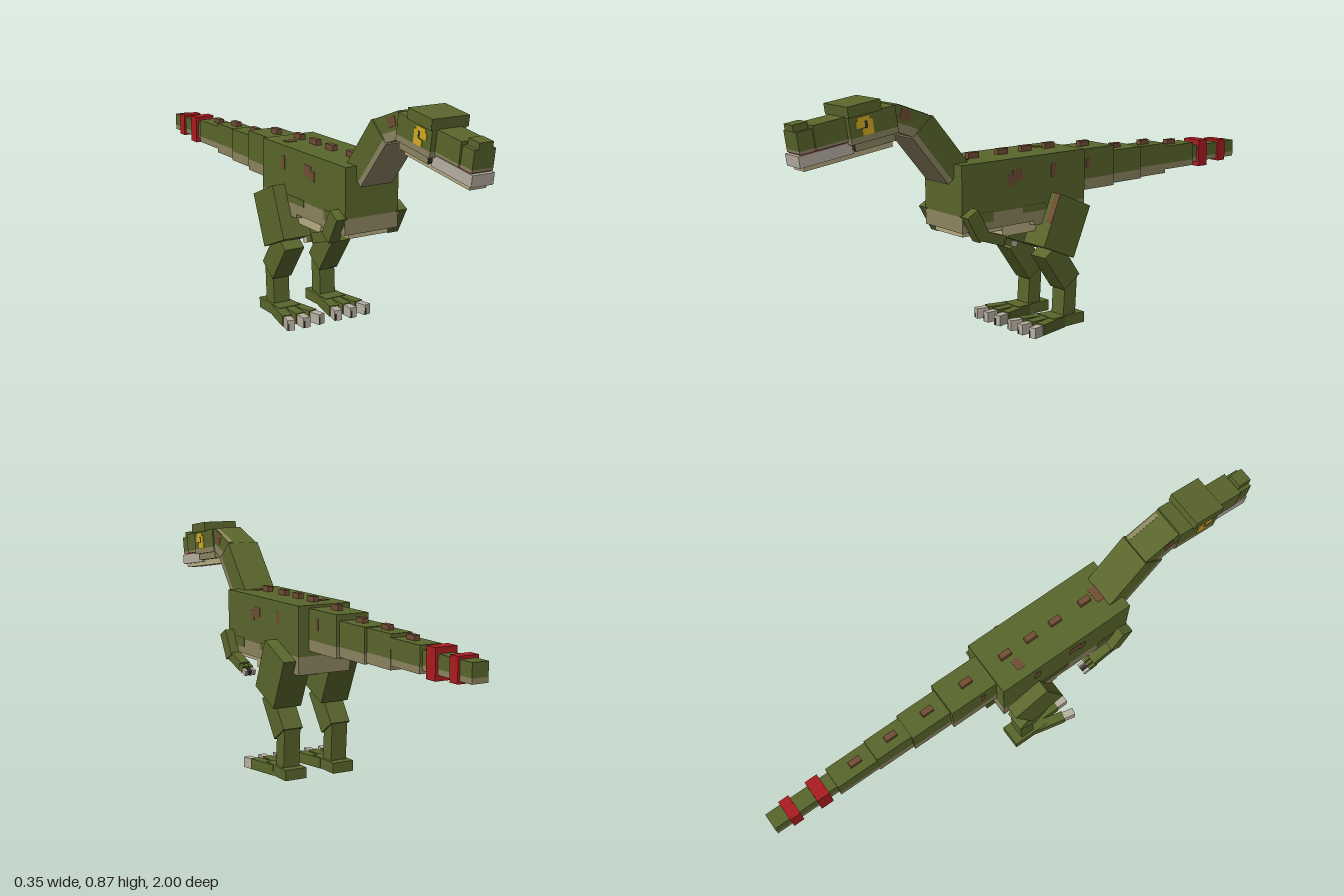
import * as THREE from 'three';

const mat = (name, color) => Object.assign(new THREE.MeshStandardMaterial({ color }), { name });
const green = mat('mossGreen', 0x5a662c);
const tan = mat('undersideTan', 0x8d8461);
const pale = mat('paleBelly', 0xb8ad84);
const claw = mat('clawBone', 0xb8b0a2);
const red = mat('bandRed', 0xac1c20);
const brown = mat('patchBrown', 0x714d35);
const yellow = mat('eyeYellow', 0xd6ac22);
const dark = mat('clawDark', 0x3a3630);
const mouthRed = mat('mouthRed', 0x7c2836);

// Box given by width and its y and z ranges, centred on x
function box(parent, name, material, w, y0, y1, z0, z1, x = 0) {
  const mesh = new THREE.Mesh(new THREE.BoxGeometry(w, y1 - y0, z1 - z0), material);
  mesh.name = name;
  mesh.position.set(x, (y0 + y1) / 2, (z0 + z1) / 2);
  parent.add(mesh);
}

// Green block with a tan lower part
function twoTone(parent, name, w, y0, split, y1, z0, z1) {
  box(parent, name, green, w, split, y1, z0, z1);
  box(parent, name + 'Underside', tan, w, y0, split, z0, z1);
}

// Group whose y axis runs between two [z, y] points
function between(parent, name, a, b, x = 0) {
  const g = new THREE.Group();
  const dz = a[0] - b[0], dy = a[1] - b[1];
  g.name = name;
  g.position.set(x, (a[1] + b[1]) / 2, (a[0] + b[0]) / 2);
  g.rotation.x = Math.atan2(dz, dy);
  g.userData.half = Math.hypot(dz, dy) / 2;
  parent.add(g);
  return g;
}

// Slanted limb block between two [z, y] points
function limb(parent, name, a, b, w, t, x, material = green) {
  const g = between(parent, name, a, b, x);
  const h = g.userData.half;
  box(g, name + 'Block', material, w, -h, h, -t / 2, t / 2);
  return g;
}

// Slanted neck block with a tan throat side
function neckPart(parent, name, a, b, w, t, throat) {
  const g = between(parent, name, a, b);
  const h = g.userData.half;
  box(g, name + 'Back', green, w, -h, h, -t / 2, t / 2 - throat);
  box(g, name + 'Throat', tan, w, -h, h, t / 2 - throat, t / 2);
  return g;
}

function buildHead(root) {
  const head = new THREE.Group();
  head.name = 'head';
  head.position.set(0, 0.803, 0.66);
  head.rotation.x = 0.14;
  root.add(head);
  twoTone(head, 'skull', 0.126, -0.045, -0.025, 0.045, -0.01, 0.165);
  box(head, 'browCrest', green, 0.14, 0.042, 0.078, 0.045, 0.167);
  twoTone(head, 'snout', 0.09, -0.035, -0.026, 0.044, 0.165, 0.28);
  twoTone(head, 'snoutTip', 0.078, -0.035, -0.026, 0.034, 0.28, 0.335);
  box(head, 'noseBump', green, 0.052, 0.034, 0.056, 0.285, 0.337);
  box(head, 'mouthLining', mouthRed, 0.076, -0.042, -0.034, 0.02, 0.33);
  box(head, 'jawHinge', tan, 0.11, -0.07, -0.045, 0, 0.15);
  box(head, 'jaw', claw, 0.082, -0.077, -0.039, 0.15, 0.342);
  box(head, 'chin', pale, 0.062, -0.092, -0.07, 0, 0.325);
  for (const s of [-1, 1]) {
    box(head, 'mouthCorner', dark, 0.014, -0.066, -0.045, 0.147, 0.153, s * 0.048);
    // Eye made of stepped yellow flecks around a slit pupil
    box(head, 'eyeTop', yellow, 0.004, 0.022, 0.036, 0.09, 0.135, s * 0.063);
    box(head, 'eyeFront', yellow, 0.004, 0.002, 0.024, 0.11, 0.142, s * 0.063);
    box(head, 'eyeBack', yellow, 0.004, -0.018, 0.024, 0.08, 0.1, s * 0.063);
    box(head, 'eyeLower', yellow, 0.004, -0.024, -0.002, 0.08, 0.122, s * 0.063);
    box(head, 'pupil', dark, 0.003, -0.002, 0.022, 0.1, 0.11, s * 0.063);
  }
}

function buildArm(root, s) {
  const arm = new THREE.Group();
  arm.name = s > 0 ? 'leftArm' : 'rightArm';
  root.add(arm);
  const x = s * 0.119;
  limb(arm, 'upperArm', [0.412, 0.475], [0.362, 0.385], 0.042, 0.05, x);
  limb(arm, 'forearm', [0.375, 0.396], [0.272, 0.362], 0.036, 0.036, x);
  for (const i of [-1, 0, 1]) {
    limb(arm, 'finger', [0.276, 0.364], [0.248, 0.354], 0.012, 0.024, x + i * 0.016);
    limb(arm, 'fingerClaw', [0.25, 0.353], [0.224, 0.344], 0.01, 0.02, x + i * 0.016, i ? claw : dark);
  }
}

function buildLeg(root, s) {
  const leg = new THREE.Group();
  leg.name = s > 0 ? 'leftLeg' : 'rightLeg';
  root.add(leg);
  const x = s * 0.098;
  const thigh = limb(leg, 'thigh', [-0.03, 0.468], [0.047, 0.289], 0.112, 0.15, x);
  if (s > 0) // brown streak on the front of the thigh
    box(thigh, 'thighStreak', brown, 0.027, -0.01, 0.097, 0.072, 0.077, 0.0425);
  limb(leg, 'shin', [0.062, 0.297], [-0.03, 0.166], 0.078, 0.085, x);
  limb(leg, 'ankle', [-0.032, 0.195], [-0.022, 0.03], 0.064, 0.056, x);
  box(leg, 'foot', green, 0.085, 0.008, 0.047, -0.085, 0.06, x);
  // Splayed toes with bone claws, dark at the inner edge
  for (const i of [-1, 0, 1]) {
    const toe = new THREE.Group();
    toe.name = 'toe';
    toe.position.set(x + i * 0.03, 0, 0.03);
    toe.rotation.y = i * 0.22;
    leg.add(toe);
    box(toe, 'toePad', green, 0.036, 0.006, 0.045, -0.02, 0.105);
    box(toe, 'toeClaw', claw, 0.028, 0.004, 0.042, 0.1, 0.15);
    box(toe, 'toeClawShade', dark, 0.006, 0.006, 0.03, 0.147, 0.151, -0.009);
  }
}

export function createModel() {
  const root = new THREE.Group();
  root.name = 'longTailedReptile';

  // Trunk with stepped tan flanks
  twoTone(root, 'chest', 0.21, 0.405, 0.46, 0.635, 0.12, 0.43);
  twoTone(root, 'hips', 0.21, 0.39, 0.455, 0.635, -0.115, 0.12);
  box(root, 'belly', pale, 0.16, 0.362, 0.41, 0.0, 0.24);
  box(root, 'breast', pale, 0.155, 0.385, 0.41, 0.24, 0.41);
  for (const s of [-1, 1]) {
    box(root, 'flankStep', green, 0.003, 0.43, 0.465, 0.3, 0.428, s * 0.105);
    box(root, 'flankStep', green, 0.003, 0.44, 0.465, 0.04, 0.17, s * 0.105);
    // Mottled patches
    box(root, 'flankPatch', brown, 0.003, 0.555, 0.595, 0.17, 0.215, s * 0.105);
    box(root, 'flankPatchEdge', brown, 0.003, 0.543, 0.58, 0.215, 0.238, s * 0.105);
    box(root, 'hipPatch', brown, 0.003, 0.55, 0.598, 0.02, 0.042, s * 0.105);
    box(root, 'tailPatch', brown, 0.003, 0.555, 0.595, -0.182, -0.162, s * 0.063);
  }
  box(root, 'backPatch', brown, 0.04, 0.634, 0.637, -0.03, 0.0, -0.05);
  box(root, 'napePatch', brown, 0.06, 0.634, 0.637, 0.345, 0.385);

  // Tail segments: width, bottom, colour split, top, back z, front z
  [
    [0.126, 0.475, 0.515, 0.625, -0.3, -0.115],
    [0.1, 0.48, 0.515, 0.603, -0.455, -0.3],
    [0.082, 0.483, 0.52, 0.6, -0.595, -0.455],
    [0.08, 0.497, 0.52, 0.587, -0.753, -0.595],
    [0.06, 0.507, 0.525, 0.572, -1, -0.753],
  ].forEach((t) => twoTone(root, 'tailSegment', ...t));
  box(root, 'tailBand', red, 0.08, 0.488, 0.592, -0.834, -0.786);
  box(root, 'tailBand', red, 0.076, 0.498, 0.582, -0.942, -0.902);

  // Spikes along the spine: z and base height
  [
    [0.308, 0.635], [0.18, 0.635], [0.075, 0.635], [-0.033, 0.635],
    [-0.2, 0.625], [-0.362, 0.6], [-0.512, 0.598], [-0.658, 0.585],
  ].forEach(([z, y]) => box(root, 'spineSpike', brown, 0.021, y - 0.01, y + 0.02, z - 0.022, z + 0.022));

  neckPart(root, 'lowerNeck', [0.552, 0.77], [0.413, 0.602], 0.126, 0.105, 0.02);
  const upperNeck = neckPart(root, 'upperNeck', [0.665, 0.813], [0.53, 0.763], 0.116, 0.085, 0.03);
  box(upperNeck, 'neckStripe', tan, 0.015, -0.065, 0.06, -0.044, -0.041, 0.046);
  for (const s of [-1, 1]) {
    box(upperNeck, 'neckPatch', brown, 0.003, 0.005, 0.045, -0.035, 0.0, s * 0.058);
    buildArm(root, s);
    buildLeg(root, s);
  }
  buildHead(root);
  return root;
}
